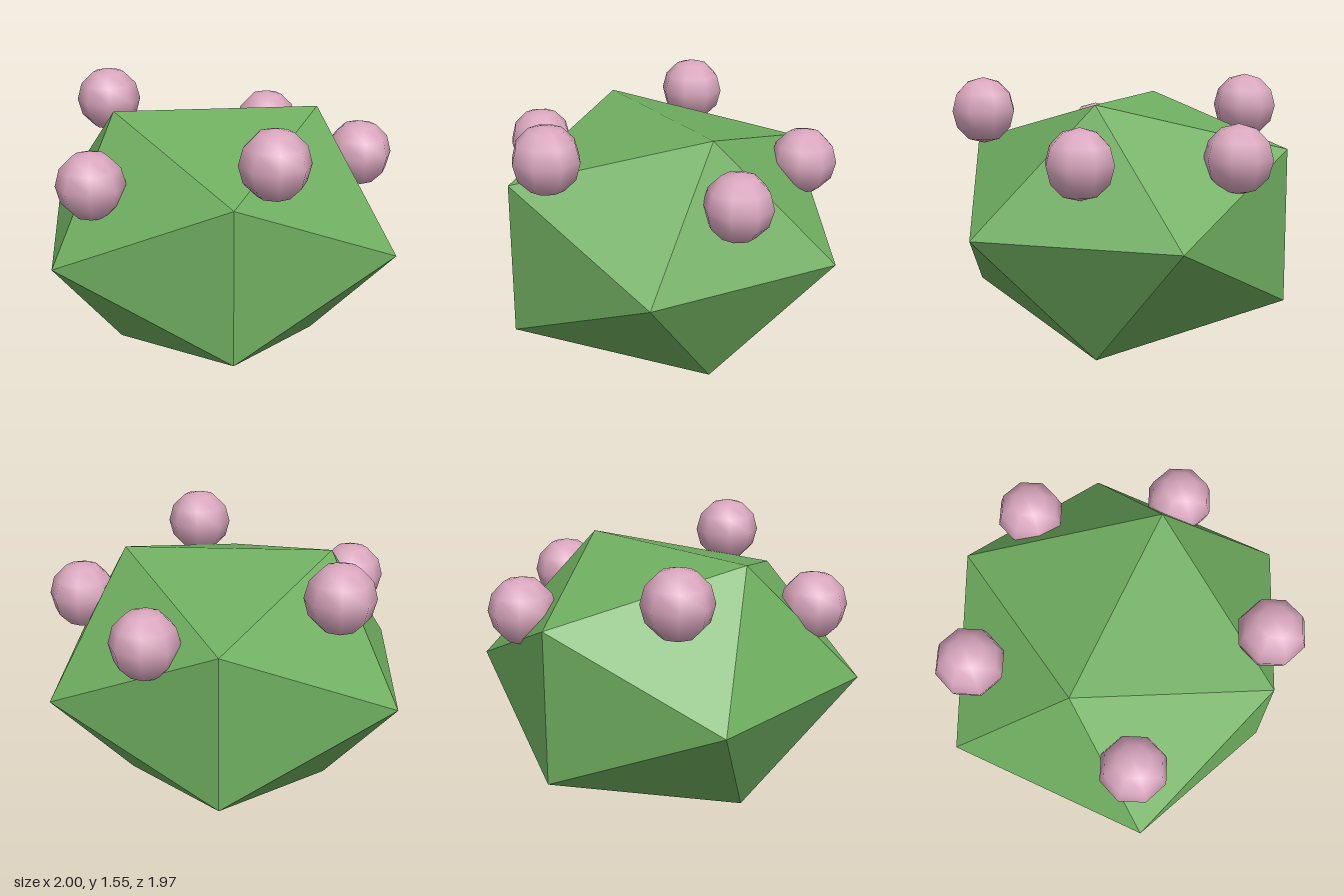
import * as THREE from 'three';

export function createModel() {
  const model = new THREE.Group();
  const green = new THREE.MeshStandardMaterial({ color: 0x6fae60, flatShading: true });
  green.name = 'leafGreen';
  const pink = new THREE.MeshStandardMaterial({ color: 0xd9a6bd });
  pink.name = 'blossomPink';

  const radius = 1.124, squash = 0.75;
  const bodyHalfHeight = 0.717;

  // Squashed faceted bush
  const bush = new THREE.Mesh(new THREE.IcosahedronGeometry(radius, 0).scale(1, squash, 1), green);
  bush.name = 'bush';
  bush.position.y = bodyHalfHeight;
  model.add(bush);

  // Blossoms spaced around the upper half, alternating low and high
  const ball = new THREE.SphereGeometry(0.194, 8, 6);
  for (let i = 0; i < 5; i++) {
    const angle = i * 1.3;
    const blossom = new THREE.Mesh(ball, pink);
    blossom.name = `blossom${i + 1}`;
    blossom.position.set(Math.cos(angle) * 0.85, i % 2 ? 1.357 : 1.144, Math.sin(angle) * 0.85);
    model.add(blossom);
  }

  // Centre the whole plant
  for (const part of model.children) {
    part.position.x -= 0.044;
    part.position.z -= 0.028;
  }
  return model;
}
